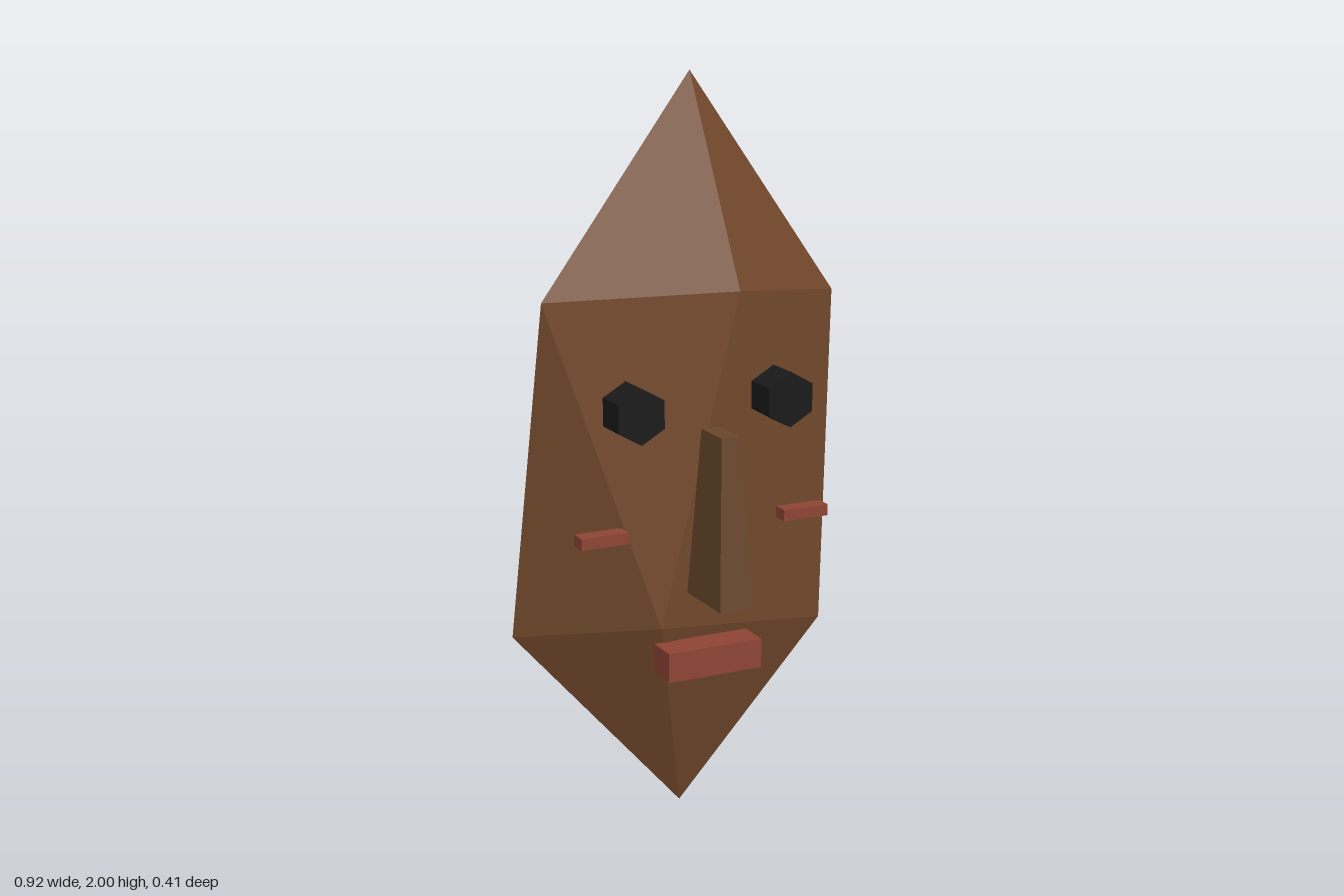
import * as THREE from 'three';

const paint = (color) => new THREE.MeshStandardMaterial({ color, flatShading: true });

// Faceted head: two interleaved five-point rings between a crown and a chin
function headGeometry() {
  const crown = [0.05, 2, -0.18], chin = [0, 0, -0.15];
  const upper = [[-0.44, 1.46, -0.02], [0.1, 1.45, 0.012], [0.46, 1.4, -0.145], [0.17, 1.4, -0.205], [-0.36, 1.375, -0.205]];
  const lower = [[-0.13, 0.57, 0.015], [0.39, 0.5, -0.07], [0.34, 0.55, -0.205], [-0.17, 0.49, -0.205], [-0.463, 0.53, -0.205]];
  const points = [];
  for (let i = 0; i < 5; i++) {
    const j = (i + 1) % 5;
    points.push(crown, upper[i], upper[j]);
    points.push(upper[i], lower[i], upper[j]);
    points.push(upper[j], lower[i], lower[j]);
    points.push(chin, lower[j], lower[i]);
  }
  const geometry = new THREE.BufferGeometry();
  geometry.setAttribute('position', new THREE.Float32BufferAttribute(points.flat(), 3));
  geometry.computeVertexNormals();
  return geometry;
}

// Box narrowed towards the top
function noseGeometry() {
  const geometry = new THREE.BoxGeometry(0.095, 0.45, 0.19);
  const p = geometry.attributes.position;
  for (let i = 0; i < p.count; i++) {
    if (p.getY(i) > 0) {
      p.setX(i, p.getX(i) * 0.53);
      p.setZ(i, p.getZ(i) * 0.6);
    }
  }
  geometry.computeVertexNormals();
  return geometry;
}

export function createModel() {
  const group = new THREE.Group();
  const add = (name, geometry, material, x, y, z) => {
    const mesh = new THREE.Mesh(geometry, material);
    mesh.name = name;
    mesh.position.set(x, y, z);
    group.add(mesh);
  };

  const wood = paint(0x754a2d), noseWood = paint(0x69482d);
  const red = paint(0x8f4535), black = paint(0x1a1a1a);

  add('head', headGeometry(), wood, 0, 0, 0);
  add('nose', noseGeometry(), noseWood, -0.007, 0.885, 0.11);
  add('mouth', new THREE.BoxGeometry(0.272, 0.08, 0.09), red, -0.007, 0.485, 0.041);

  // Hexagonal eyes and cheek bars, one of each per side
  const eye = new THREE.CylinderGeometry(0.074, 0.074, 0.095, 6).rotateX(Math.PI / 2);
  const cheek = new THREE.BoxGeometry(0.132, 0.031, 0.047);
  for (const [side, s] of [['left', 1], ['right', -1]]) {
    add(side + 'Eye', eye, black, -0.007 + s * 0.213, 1.17, 0.046);
    add(side + 'Cheek', cheek, red, -0.007 + s * 0.293, 0.84, 0.016);
  }
  return group;
}
